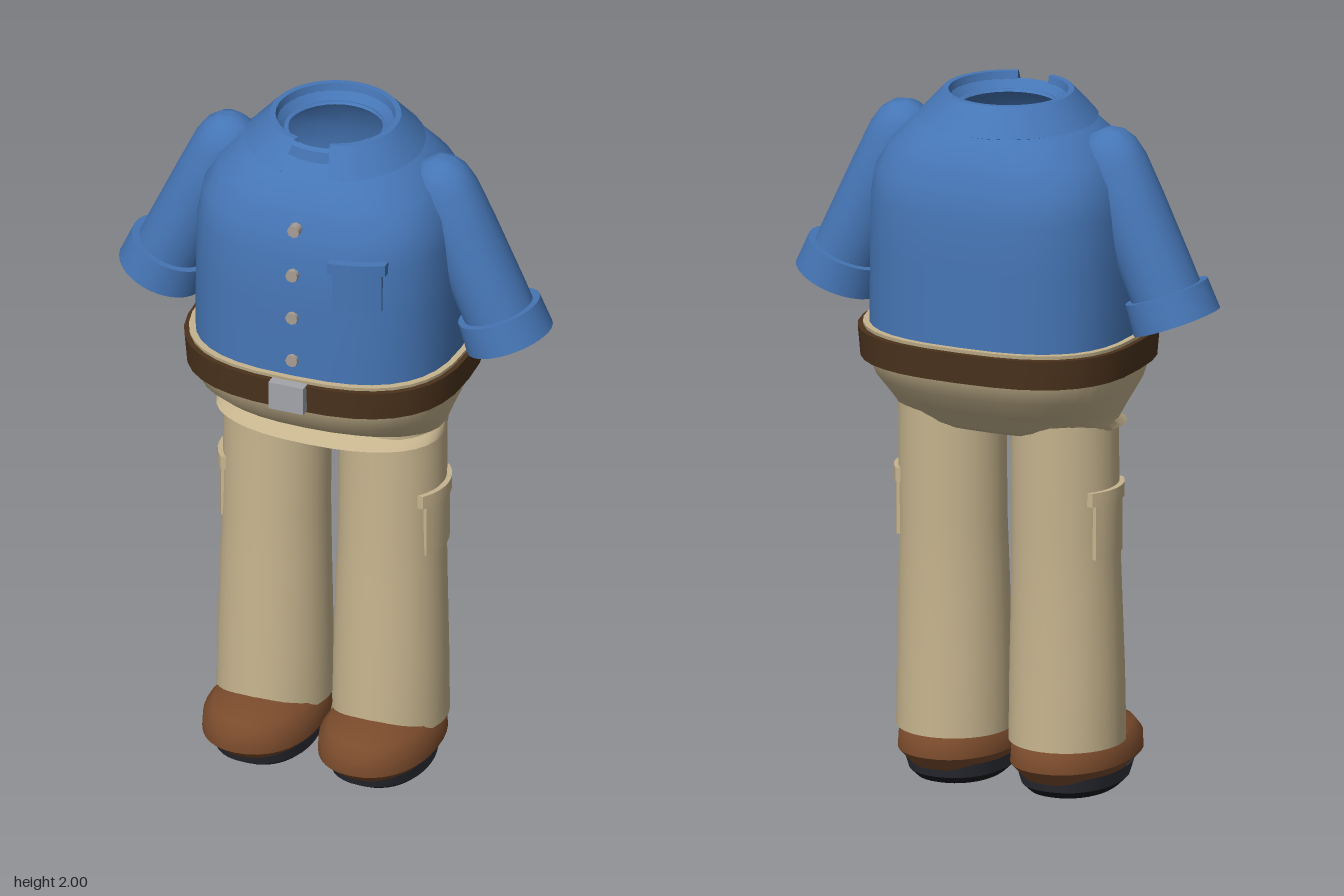
import * as THREE from 'three';
import { toCreasedNormals } from 'three/addons/utils/BufferGeometryUtils.js';

const SIDES = 36;

function material(name, color) {
  const m = new THREE.MeshStandardMaterial({ color, side: THREE.DoubleSide });
  m.name = name;
  return m;
}

// Skin over stacked superellipse sections, rows: [y, halfWidth, zFront, zBack, exponent]
function loft(rows, { cx = 0, n = 2.7, bottom = false, top = false, crease = 0.7 } = {}) {
  const pos = [], idx = [];
  rows.forEach(([y, hx, zf, zb, e = n]) => {
    for (let j = 0; j < SIDES; j++) {
      const a = (j / SIDES) * Math.PI * 2;
      const c = Math.cos(a), s = Math.sin(a);
      const px = Math.sign(c) * Math.abs(c) ** (2 / e);
      const pz = Math.sign(s) * Math.abs(s) ** (2 / e);
      pos.push(cx + hx * px, y, (zf + zb) / 2 + ((zf - zb) / 2) * pz);
    }
  });
  for (let i = 0; i < rows.length - 1; i++) {
    for (let j = 0; j < SIDES; j++) {
      const k = (j + 1) % SIDES;
      const a = i * SIDES + j, b = i * SIDES + k;
      idx.push(a, a + SIDES, b, b, a + SIDES, b + SIDES);
    }
  }
  const cap = (i, up) => {
    const centre = pos.length / 3, [y, , zf, zb] = rows[i];
    pos.push(cx, y, (zf + zb) / 2);
    for (let j = 0; j < SIDES; j++) {
      const a = i * SIDES + j, b = i * SIDES + ((j + 1) % SIDES);
      if (up) idx.push(centre, b, a);
      else idx.push(centre, a, b);
    }
  };
  if (bottom) cap(0, false);
  if (top) cap(rows.length - 1, true);
  const g = new THREE.BufferGeometry();
  g.setAttribute('position', new THREE.Float32BufferAttribute(pos, 3));
  g.setIndex(idx);
  g.computeVertexNormals();
  return toCreasedNormals(g, crease);
}

// Thin plate whose z follows the rule depth(x)
function bentPlate(x0, x1, y0, y1, thick, depth) {
  const g = new THREE.BoxGeometry(x1 - x0, y1 - y0, thick, 8, 1, 1);
  g.translate((x0 + x1) / 2, (y0 + y1) / 2, 0);
  const p = g.attributes.position;
  for (let i = 0; i < p.count; i++) p.setZ(i, p.getZ(i) + depth(p.getX(i)));
  return toCreasedNormals(g, 0.6);
}

function ring(points, start = 0, length = Math.PI * 2) {
  const pts = points.map(([r, y]) => new THREE.Vector2(r, y));
  return toCreasedNormals(new THREE.LatheGeometry(pts, 32, start, length), 0.6);
}

export function createModel() {
  const model = new THREE.Group();
  model.name = 'outfit';
  const blue = material('shirt blue', 0x4676b6);
  const khaki = material('trouser khaki', 0xc6b48e);
  const beltBrown = material('belt brown', 0x4b331d);
  const shoeBrown = material('shoe brown', 0x7a4b2c);
  const silver = material('buckle grey', 0xa2a4aa);
  const buttonGrey = material('button grey', 0xa89f94);
  const soleGrey = material('sole grey', 0x30333b);
  const soleBlack = material('tread black', 0x1a1a1e);

  const add = (name, geometry, mat, parent = model) => {
    const m = new THREE.Mesh(geometry, mat);
    m.name = name;
    parent.add(m);
    return m;
  };

  // Shirt body, open at waist and neck
  add('shirtBody', loft([
    [1.28, 0.375, 0.303, -0.325],
    [1.55, 0.374, 0.303, -0.325],
    [1.70, 0.37, 0.297, -0.325],
    [1.78, 0.357, 0.28, -0.312],
    [1.85, 0.32, 0.248, -0.283, 2.5],
    [1.915, 0.255, 0.205, -0.245, 2.2],
    [1.95, 0.19, 0.16, -0.19, 2],
    [1.96, 0.13, 0.12, -0.15, 2],
  ], { crease: 1.2 }), blue);

  // Neckband and folded collar with a front gap
  add('neckband', ring([[0.135, 1.95], [0.165, 1.982], [0.178, 1.975], [0.185, 1.94]]), blue)
    .position.z = -0.015;
  add('collar', ring([[0.16, 1.97], [0.166, 2], [0.182, 2], [0.25, 1.925], [0.235, 1.92]],
    0.29, Math.PI * 2 - 0.58), blue).position.z = -0.015;

  // Shirt buttons
  for (const y of [1.79, 1.655, 1.52, 1.385]) {
    const b = add('button', new THREE.CylinderGeometry(0.018, 0.018, 0.026, 8), buttonGrey);
    b.rotation.x = Math.PI / 2;
    b.position.set(0, y, y > 1.75 ? 0.288 : 0.302);
  }

  // Chest pocket follows the chest curve
  const chest = (x) => -0.012 + 0.312 * (1 - (x / 0.372) ** 2.7) ** (1 / 2.7);
  add('chestPocket', bentPlate(0.117, 0.248, 1.57, 1.69, 0.016, chest), blue);
  add('chestPocketFlap', bentPlate(0.105, 0.26, 1.685, 1.72, 0.034, chest), blue);

  // Hips, belt and buckle
  add('hips', loft([
    [1.045, 0.30, 0.12, -0.15, 2.3],
    [1.062, 0.33, 0.205, -0.175, 2.3],
    [1.085, 0.325, 0.155, -0.19, 2.3],
    [1.12, 0.338, 0.215, -0.235, 2.4],
    [1.18, 0.362, 0.283, -0.293],
    [1.24, 0.38, 0.305, -0.325],
    [1.335, 0.392, 0.322, -0.342],
    [1.335, 0.374, 0.305, -0.325],
  ], { bottom: true }), khaki);
  add('belt', loft([
    [1.24, 0.37, 0.30, -0.32],
    [1.24, 0.398, 0.328, -0.35],
    [1.325, 0.405, 0.335, -0.357],
    [1.325, 0.385, 0.318, -0.337],
  ]), beltBrown);
  add('buckle', new THREE.BoxGeometry(0.104, 0.083, 0.03), silver).position.set(0, 1.288, 0.34);

  for (const side of [1, -1]) {
    const cx = side * 0.172;

    // Sleeve with rounded shoulder and turned-up cuff
    const arm = new THREE.Group();
    arm.name = side > 0 ? 'leftSleeve' : 'rightSleeve';
    arm.position.set(side * 0.5, 1.44, -0.018);
    arm.rotation.z = side * 0.423;
    model.add(arm);
    const section = (y, r, rz = r) => [y, r, rz, -rz];
    add('sleeve', loft([
      section(-0.03, 0.1), section(0.1, 0.1), section(0.3, 0.097), section(0.42, 0.094, 0.088),
      section(0.47, 0.084, 0.076), section(0.505, 0.062, 0.055), section(0.525, 0.03, 0.028),
    ], { n: 2, top: true, crease: 1.2 }), blue, arm);
    add('cuff', ring([[0.1, -0.048], [0.126, -0.048], [0.12, 0.042], [0.098, 0.042], [0.1, -0.048]]),
      blue, arm).rotation.z = -side * 0.06;

    // Trouser leg
    add('trouserLeg', loft([
      [0.15, 0.162, 0.17, -0.165],
      [0.35, 0.16, 0.162, -0.16],
      [0.6, 0.154, 0.148, -0.155],
      [0.75, 0.15, 0.142, -0.158],
      [1.09, 0.15, 0.135, -0.165],
    ], { cx, n: 2 }), khaki);

    // Cargo pocket wrapped on the outer thigh
    const thigh = (x) => 0.15 * Math.sqrt(1 - (x / 0.152) ** 2);
    const pocket = new THREE.Group();
    pocket.name = 'cargoPocket';
    pocket.position.set(cx, 0, -0.01);
    pocket.rotation.y = side * Math.PI / 2;
    model.add(pocket);
    add('pocketBody', bentPlate(-0.083, 0.083, 0.70, 0.86, 0.016, thigh), khaki, pocket);
    add('pocketFlap', bentPlate(-0.098, 0.098, 0.855, 0.895, 0.03, thigh), khaki, pocket);

    // Shoe with layered sole
    add('shoe', loft([
      [0.05, 0.125, 0.25, -0.14],
      [0.09, 0.163, 0.30, -0.175],
      [0.135, 0.16, 0.30, -0.173],
      [0.168, 0.135, 0.275, -0.145],
      [0.197, 0.075, 0.17, -0.1],
    ], { cx, n: 2.2, bottom: true, top: true }), shoeBrown);
    add('midsole', loft([
      [0.025, 0.137, 0.235, -0.125],
      [0.065, 0.146, 0.257, -0.143],
    ], { cx, n: 2.2 }), soleGrey);
    add('tread', loft([
      [0.003, 0.115, 0.2, -0.1],
      [0.025, 0.137, 0.235, -0.125],
    ], { cx, n: 2.2, bottom: true }), soleBlack);
  }
  return model;
}
